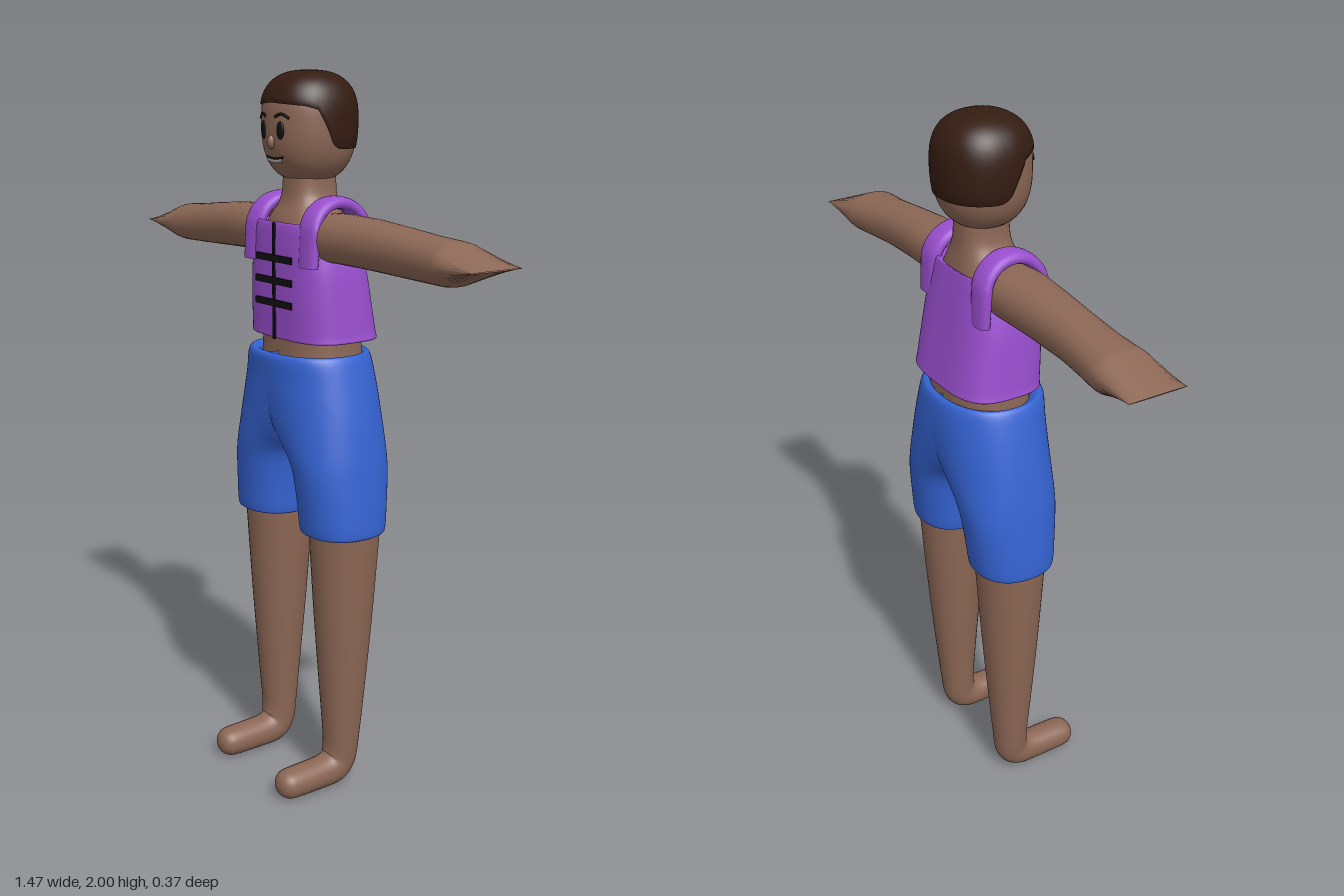
import * as THREE from 'three';

const mat = (color) => new THREE.MeshStandardMaterial({ color, roughness: 0.8, side: THREE.DoubleSide });
const PI = Math.PI;

// Surface from rows of closed loops: fn(row, angle) -> [x, y, z]
function surface(rows, cols, fn) {
  const pos = [], index = [];
  for (let i = 0; i < rows; i++) for (let j = 0; j < cols; j++) pos.push(...fn(i, (j / cols) * 2 * PI));
  for (let i = 0; i < rows - 1; i++) for (let j = 0; j < cols; j++) {
    const k = (j + 1) % cols, a = i * cols, b = a + cols;
    index.push(a + j, a + k, b + j, a + k, b + k, b + j);
  }
  const geo = new THREE.BufferGeometry();
  geo.setAttribute('position', new THREE.Float32BufferAttribute(pos, 3));
  geo.setIndex(index);
  geo.computeVertexNormals();
  return geo;
}

// Insert smooth in-between rows (Catmull-Rom on every column)
function refine(rows, steps) {
  const out = [], at = (i) => rows[Math.min(Math.max(i, 0), rows.length - 1)];
  for (let i = 0; i < rows.length - 1; i++) for (let s = 0; s < steps; s++) {
    const t = s / steps;
    out.push(rows[i].map((b, k) => {
      const a = at(i - 1)[k], c = at(i + 1)[k], d = at(i + 2)[k];
      return b + 0.5 * t * (c - a + t * (2 * a - 5 * b + 4 * c - d + t * (3 * (b - c) + d - a)));
    }));
  }
  out.push(rows[rows.length - 1]);
  return out;
}

// Superellipse factor: power 2 is round, larger is boxier
const sup = (v, n) => Math.sign(v) * Math.pow(Math.abs(v), 2 / n);

// Loft rings [x, y, z, rx, rv, tilt]; tilt 0 runs down, 90 degrees runs forward
function loft(rings, n = 2, steps = 4, cols = 36) {
  const rows = steps > 1 ? refine(rings, steps) : rings;
  return surface(rows.length, cols, (i, a) => {
    const [x, y, z, rx, rv, t] = rows[i];
    const v = rv * sup(Math.sin(a), n);
    return [x + rx * sup(Math.cos(a), n), y + v * Math.sin(t), z + v * Math.cos(t)];
  });
}

// Horizontal section from half width and front / back depth
const slice = (y, w, front, back) => [0, y, (front + back) / 2, w, (front - back) / 2, 0];

// Head shape
const HEAD_Z = -0.03, HEAD_R = 0.123;
const headRadius = (y) => {
  const d = Math.min(1, Math.abs(y - 1.87) / (y > 1.87 ? 0.126 : 0.16));
  return HEAD_R * Math.pow(1 - Math.pow(d, 2.6), 1 / 2.6);
};
const faceZ = (x, y) => HEAD_Z + headRadius(y) * Math.pow(1 - Math.pow(Math.abs(x) / headRadius(y), 2.2), 1 / 2.2);
const headPoint = (a, y, scale) => {
  const r = headRadius(y) * scale;
  return [r * sup(Math.cos(a), 2.2), y, HEAD_Z + r * sup(Math.sin(a), 2.2)];
};

// Hairline height by degrees away from the front
function hairline(deg) {
  const pts = [[0, 1.918], [50, 1.91], [68, 1.9], [78, 1.86], [88, 1.81], [96, 1.8], [180, 1.8]];
  let k = 1;
  while (pts[k][0] < deg && k < pts.length - 1) k++;
  const [p, q] = [pts[k - 1], pts[k]];
  return p[1] + ((q[1] - p[1]) * (deg - p[0])) / (q[0] - p[0]);
}

export function createModel() {
  const model = new THREE.Group();
  const skin = mat(0x8c6755), purple = mat(0x9a4fcf), blue = mat(0x3563d2);
  const brown = mat(0x341c12), black = mat(0x111111), grey = mat(0x9c9692);
  const add = (name, geo, material, parent = model) => {
    const m = new THREE.Mesh(geo, material);
    m.name = name;
    parent.add(m);
    return m;
  };

  // Head and hair cap
  const N = 28;
  add('head', surface(N + 1, 48, (i, a) => headPoint(a, 1.853 + 0.143 * Math.cos((i / N) * PI), 1)), skin);
  add('hair', surface(18, 96, (i, a) => {
    const deg = Math.abs(((a * 180) / PI - 90 + 540) % 360 - 180);
    const low = hairline(deg);
    if (i === 17) return headPoint(a, low, 0.98);
    const y = low + (1.996 - low) * Math.cos((i / 16) * PI / 2);
    const p = headPoint(a, y, 1.035);
    p[1] += 0.004 * (i < 16 ? 1 : 0);
    return p;
  }), brown);

  // Face
  const line = (name, pts, r, material) => add(name, new THREE.TubeGeometry(
    new THREE.CatmullRomCurve3(pts.map(([x, y]) => new THREE.Vector3(x, y, faceZ(x, y)))), 16, r, 6), material);
  const ball = (name, x, y, z, sx, sy, sz, material) => {
    const m = add(name, new THREE.SphereGeometry(1, 20, 14), material);
    m.position.set(x, y, z);
    m.scale.set(sx, sy, sz);
    return m;
  };
  for (const s of [1, -1]) {
    ball('eye', s * 0.038, 1.848, faceZ(0.038, 1.848), 0.013, 0.023, 0.005, black).rotation.y = s * 0.2;
    line('eyebrow', [[s * 0.02, 1.882], [s * 0.042, 1.889], [s * 0.066, 1.878]], 0.004, black);
  }
  ball('nose', 0, 1.818, faceZ(0, 1.818), 0.012, 0.018, 0.012, skin);
  line('lips', [[-0.034, 1.772], [0, 1.768], [0.034, 1.772]], 0.006, grey);
  line('mouthLine', [[-0.038, 1.779], [0, 1.775], [0.038, 1.779]], 0.003, black);

  // Neck running into the trunk
  add('torso', loft([
    slice(1.75, 0.064, 0.035, -0.1), slice(1.69, 0.066, 0.038, -0.102), slice(1.655, 0.08, 0.045, -0.105),
    slice(1.61, 0.112, 0.065, -0.113), slice(1.55, 0.14, 0.07, -0.125), slice(1.4, 0.15, 0.068, -0.14),
    slice(1.28, 0.152, 0.07, -0.152), slice(1.2, 0.16, 0.075, -0.155),
  ], 2.5), skin);

  // Vest body with tucked neckline and hem
  add('vest', loft([
    slice(1.595, 0.1, 0.05, -0.1), slice(1.61, 0.135, 0.072, -0.118), slice(1.6, 0.15, 0.08, -0.123),
    slice(1.55, 0.158, 0.083, -0.132), slice(1.48, 0.172, 0.083, -0.144), slice(1.4, 0.178, 0.083, -0.158),
    slice(1.32, 0.182, 0.08, -0.172), slice(1.298, 0.183, 0.078, -0.174), slice(1.3, 0.15, 0.06, -0.15),
  ], 3.2, 4, 56), purple);

  // Shoulder straps arching from back to front
  for (const s of [1, -1]) {
    const rings = [[s * 0.128, 1.5, -0.115, 0.035, 0.016, PI]];
    for (let i = 0; i <= 12; i++) {
      const t = PI * (1 - i / 12);
      rings.push([s * (0.128 - 0.008 * Math.sin(t)), 1.585 + 0.08 * Math.sin(t), -0.026 + 0.084 * Math.cos(t),
        0.037, 0.017, t]);
    }
    rings.push([s * 0.128, 1.5, 0.064, 0.035, 0.016, 0]);
    add('shoulderStrap', loft(rings, 2.6, 2, 20), purple);
  }

  // Front seam and fastening bars
  const box = (name, w, h, x, y, z) => add(name, new THREE.BoxGeometry(w, h, 0.006), black).position.set(x, y, z);
  box('frontSeam', 0.009, 0.312, 0, 1.452, 0.084);
  for (const y of [1.515, 1.455, 1.395]) box('fasteningBar', 0.165, 0.018, 0.002, y, 0.087);

  // Shorts, each half meeting at the middle: [y, outer x, inner x, centre x, front z, back z]
  const rows = refine([
    [1.245, 0.15, -0.2, 0, 0.07, -0.15], [1.262, 0.17, -0.2, 0, 0.1, -0.165], [1.25, 0.185, -0.2, 0, 0.115, -0.18],
    [1.19, 0.204, -0.2, 0.01, 0.112, -0.186], [1.11, 0.224, -0.16, 0.045, 0.108, -0.185],
    [1.04, 0.238, -0.06, 0.085, 0.104, -0.181], [0.98, 0.248, 0.008, 0.12, 0.1, -0.176],
    [0.93, 0.254, 0.03, 0.14, 0.095, -0.17], [0.85, 0.262, 0.038, 0.15, 0.087, -0.16],
    [0.785, 0.266, 0.042, 0.154, 0.081, -0.152], [0.77, 0.26, 0.048, 0.154, 0.074, -0.146],
    [0.775, 0.245, 0.063, 0.154, 0.05, -0.13],
  ], 5);
  const half = surface(rows.length, 72, (i, a) => {
    const [y, xo, xi, xc, zf, zb] = rows[i];
    const c = sup(Math.cos(a), 2.25);
    const x = Math.max(0, xc + c * (c > 0 ? xo - xc : xc - xi));
    return [x, y, (zf + zb) / 2 + (sup(Math.sin(a), 2.25) * (zf - zb)) / 2];
  });
  // Even out the shading along the middle seam
  const p = half.attributes.position, nrm = half.attributes.normal;
  for (let i = 0; i < p.count; i++) if (p.getX(i) < 1e-4) nrm.setX(i, 0);
  half.normalizeNormals();

  // Bare leg bending into a rounded foot
  const leg = loft([
    [0.157, 0.85, -0.04, 0.098, 0.099, 0], [0.157, 0.78, -0.04, 0.097, 0.098, 0],
    [0.157, 0.5, -0.038, 0.08, 0.08, 0], [0.157, 0.25, -0.036, 0.061, 0.06, 0],
    [0.156, 0.13, -0.034, 0.052, 0.05, 0.05], [0.155, 0.08, -0.026, 0.047, 0.052, 0.55],
    [0.155, 0.056, -0.004, 0.046, 0.05, 1.15], [0.155, 0.049, 0.04, 0.045, 0.045, PI / 2],
    [0.155, 0.047, 0.14, 0.045, 0.042, PI / 2], [0.155, 0.047, 0.167, 0.037, 0.035, PI / 2],
    [0.155, 0.047, 0.18, 0.022, 0.021, PI / 2], [0.155, 0.047, 0.185, 0, 0, PI / 2],
  ], 2.1, 4, 32);

  // Arm ending in a flat wedge
  const arm = loft([
    [0.018, -0.1, -0.02, 0.064, 0.083, 0], [0.02, -0.18, -0.02, 0.065, 0.083, 0],
    [0.017, -0.3, -0.022, 0.064, 0.073, 0], [0.01, -0.42, -0.024, 0.061, 0.067, 0],
    [0.003, -0.52, -0.028, 0.057, 0.072, 0], [0, -0.59, -0.03, 0.055, 0.08, 0],
    [0, -0.61, -0.03, 0.052, 0.081, 0], [0, -0.735, -0.03, 0.001, 0.081, 0],
  ], 2.2, 1, 32);
  arm.rotateZ(PI / 2).translate(0, 1.555, 0);

  for (const [side, s] of [['left', 1], ['right', -1]]) {
    const limbs = new THREE.Group();
    limbs.name = side + 'Side';
    limbs.scale.x = s;
    add(side + 'Shorts', half, blue, limbs);
    add(side + 'Leg', leg, skin, limbs);
    add(side + 'Arm', arm, skin, limbs);
    model.add(limbs);
  }
  return model;
}
